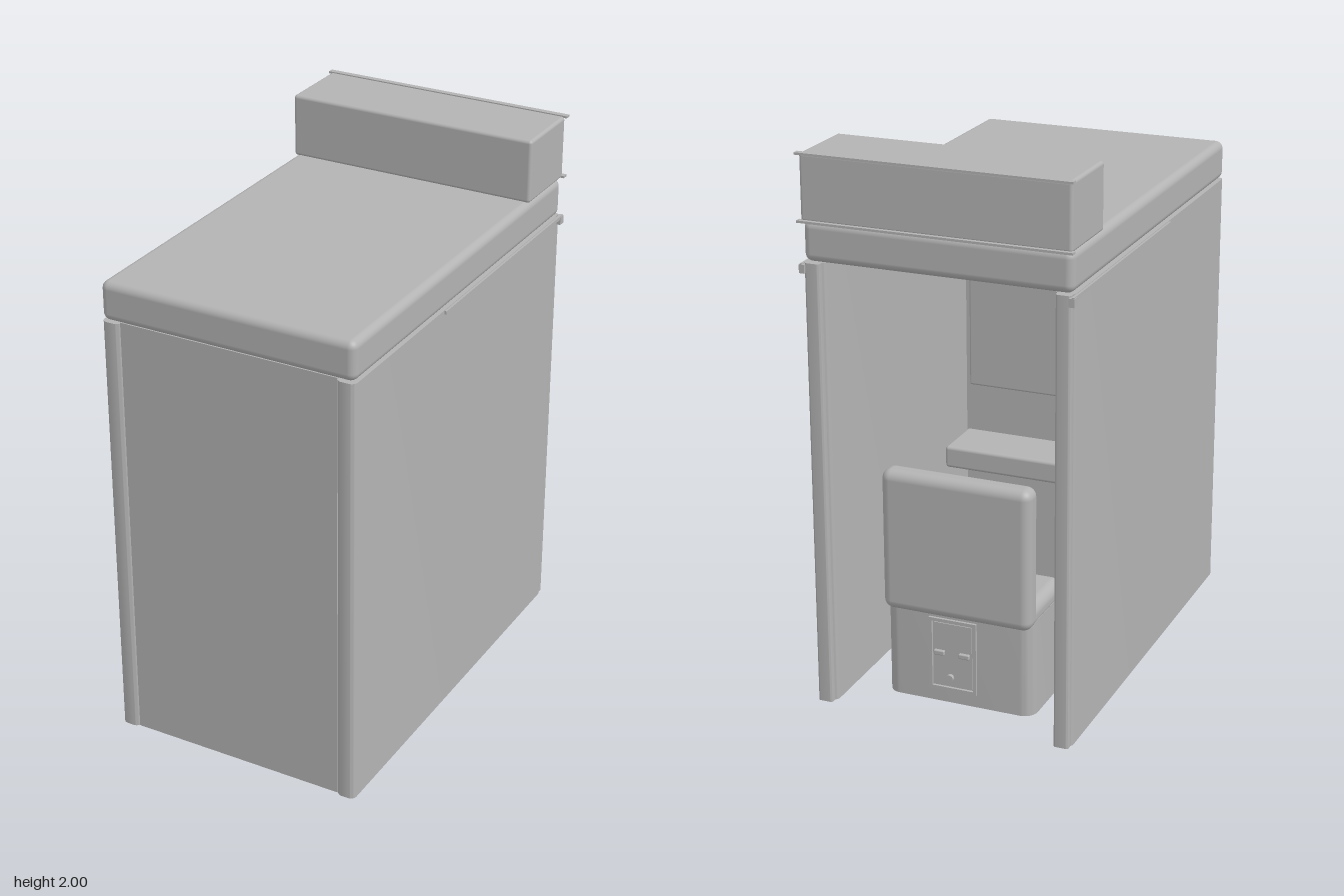
import * as THREE from 'three';
import { RoundedBoxGeometry } from 'three/addons/geometries/RoundedBoxGeometry.js';
import { toCreasedNormals } from 'three/addons/utils/BufferGeometryUtils.js';

const grey = new THREE.MeshStandardMaterial({ color: 0xb3b3b3 });
grey.name = 'grey';

export function createModel() {
  const model = new THREE.Group();
  model.name = 'booth';

  const add = (name, geometry, x = 0, y = 0, z = 0) => {
    const mesh = new THREE.Mesh(geometry, grey);
    mesh.name = name;
    mesh.position.set(x, y, z);
    model.add(mesh);
    return mesh;
  };

  // Boxes are given by their limits along each axis; r rounds the edges
  const box = (name, [x0, x1], [y0, y1], [z0, z1], r = 0) => {
    const size = [x1 - x0, y1 - y0, z1 - z0];
    const geometry = r ? new RoundedBoxGeometry(...size, 4, r) : new THREE.BoxGeometry(...size);
    return add(name, geometry, (x0 + x1) / 2, (y0 + y1) / 2, (z0 + z1) / 2);
  };

  // Upright prism with rounded vertical edges
  const pillar = (name, [x0, x1], [y0, y1], [z0, z1], r) => {
    const w = (x1 - x0) / 2, d = (z1 - z0) / 2;
    const s = new THREE.Shape();
    s.moveTo(-w + r, -d);
    s.absarc(w - r, -d + r, r, -Math.PI / 2, 0);
    s.absarc(w - r, d - r, r, 0, Math.PI / 2);
    s.absarc(-w + r, d - r, r, Math.PI / 2, Math.PI);
    s.absarc(-w + r, -d + r, r, Math.PI, Math.PI * 1.5);
    const g = new THREE.ExtrudeGeometry(s, { depth: y1 - y0, bevelEnabled: false, curveSegments: 6 });
    g.rotateX(-Math.PI / 2);
    return add(name, toCreasedNormals(g, 0.6), (x0 + x1) / 2, y0, (z0 + z1) / 2);
  };

  // Side walls with edge trim and curtain rails
  for (const side of [-1, 1]) {
    const span = (a, b) => (side > 0 ? [a, b] : [-b, -a]);
    pillar('sideWall', span(0.41, 0.48), [0, 1.62], [-0.75, 0.79], 0.022);
    pillar('wallEdgeTrim', span(0.42, 0.475), [0, 1.62], [-0.77, -0.74], 0.01);
    box('curtainRail', span(0.478, 0.488), [1.605, 1.618], [-0.775, 0.165]);
    box('railBracket', span(0.47, 0.49), [1.585, 1.615], [-0.778, -0.75]);
  }

  // Front cabinet filling the space between the walls
  box('frontCabinet', [-0.411, 0.411], [0, 1.625], [0.41, 0.78]);
  box('screen', [-0.39, 0.39], [0.81, 1.4], [0.39, 0.412], 0.008);
  box('controlShelf', [-0.411, 0.411], [0.535, 0.62], [0.2, 0.42], 0.012);

  // Roof and sign box
  box('roof', [-0.48, 0.48], [1.622, 1.765], [-0.765, 0.79], 0.028);
  box('signBox', [-0.48, 0.48], [1.762, 1.997], [-0.775, -0.49], 0.012);
  for (const y of [1.762, 1.992]) {
    box('signFlange', [-0.488, 0.488], [y, y + 0.008], [-0.79, -0.768]);
  }

  // Seat
  pillar('seatBase', [-0.28, 0.28], [0, 0.36], [-0.61, -0.31], 0.05);
  box('seatCushion', [-0.28, 0.28], [0.33, 0.42], [-0.61, -0.31], 0.04);
  box('backrest', [-0.28, 0.28], [0.335, 0.86], [-0.64, -0.55], 0.035);

  // Service door on the back of the seat base
  const [dx0, dx1, dy0, dy1] = [-0.07, 0.11, 0.05, 0.325];
  const t = 0.012;
  box('doorPanel', [dx0 + 0.018, dx1 - 0.018], [dy0 + 0.018, dy1 - 0.018], [-0.614, -0.6]);
  for (const x of [dx0, dx1 - t]) box('doorFrame', [x, x + t], [dy0, dy1], [-0.62, -0.6]);
  for (const y of [dy0, dy1 - t]) box('doorFrame', [dx0, dx1], [y, y + t], [-0.62, -0.6]);
  for (const x of [-0.025, 0.07]) {
    box('doorLatch', [x - 0.02, x + 0.02], [0.185, 0.203], [-0.626, -0.61], 0.004);
  }
  const lock = add('doorLock', new THREE.CylinderGeometry(0.014, 0.014, 0.016, 20), 0.03, 0.1, -0.619);
  lock.rotation.x = Math.PI / 2;

  return model;
}
